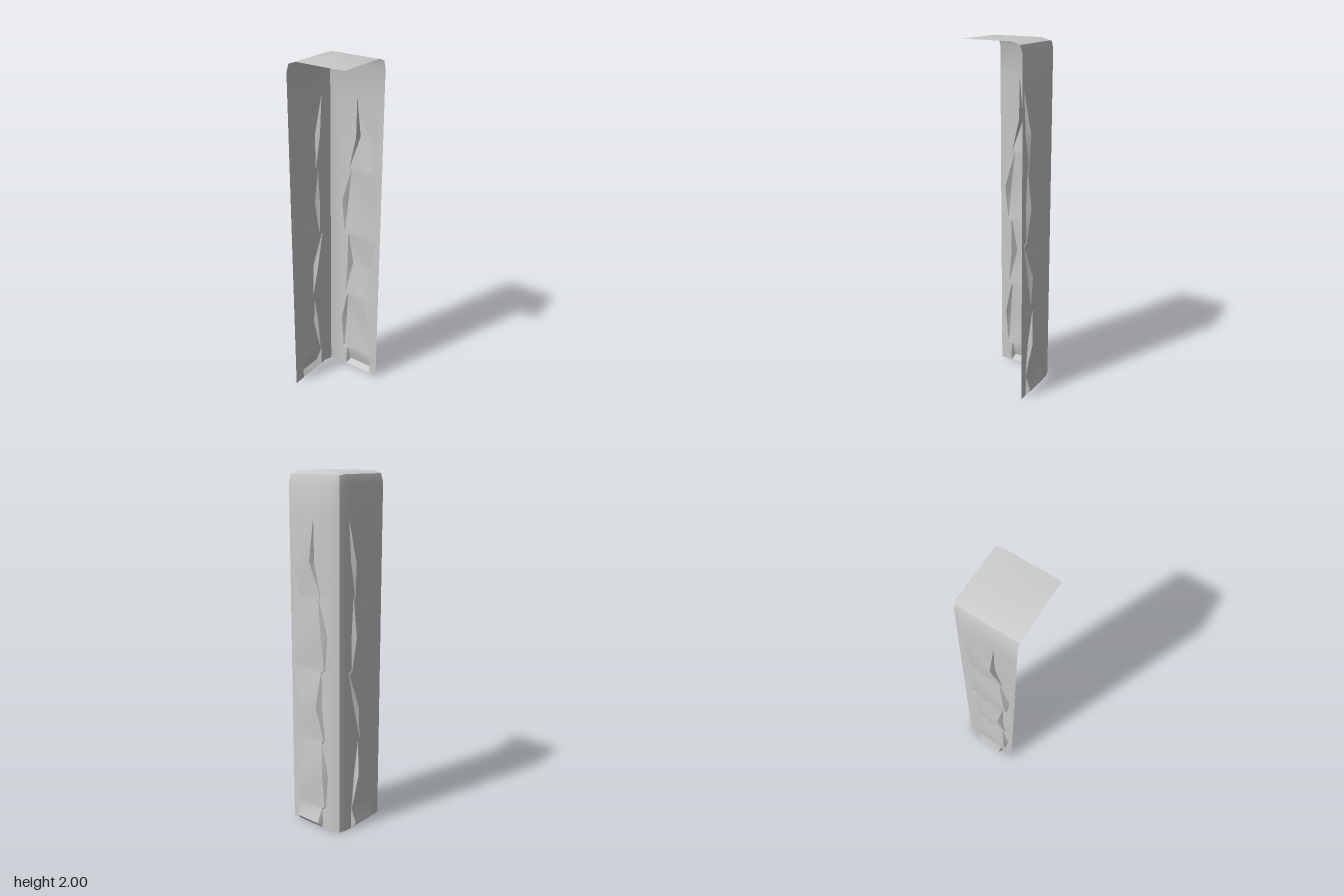
import * as THREE from 'three';
import { toCreasedNormals } from 'three/addons/utils/BufferGeometryUtils.js';

const FREE = -0.19;   // open end of every face
const FACE = 0.162;   // outer plane of the walls
const BEND = 0.102;   // where the rounded edge begins
const EDGE = 0.147;   // crease in the middle of the rounded edge
const CORNER = 0.142; // where the three creases meet
const TOP = 2;

// Chipped relief, upwards: y, relief height, left foot, left crest, right crest, right foot
const RELIEF = [
  [0, 0, -0.117, -0.117, 0.06, 0.06],
  [0.03, 0.026, -0.12, -0.105, 0.048, 0.06],
  [0.115, 0.004, -0.118, -0.113, 0.055, 0.061],
  [0.135, 0.004, -0.143, -0.138, 0.054, 0.06],
  [0.33, 0.026, -0.16, -0.14, 0.025, 0.036],
  [0.52, 0.004, -0.12, -0.115, -0.005, 0.004],
  [0.545, 0.004, -0.138, -0.132, -0.005, 0.004],
  [0.74, 0.026, -0.118, -0.095, 0.03, 0.043],
  [0.935, 0.003, -0.118, -0.115, 0.083, 0.087],
  [0.955, 0.003, -0.143, -0.139, 0.058, 0.062],
  [1.14, 0.026, -0.16, -0.135, 0.052, 0.065],
  [1.335, 0.003, -0.102, -0.098, 0.049, 0.053],
  [1.365, 0.003, -0.112, -0.108, 0.035, 0.039],
  [1.54, 0.026, -0.069, -0.057, 0.06, 0.072],
  [1.77, 0, -0.065, -0.065, 0.09, 0.09],
  [1.94, 0, -0.065, -0.065, 0.09, 0.09],
  [1.985, -0.015, -0.065, -0.065, 0.09, 0.09],
];

// Skin a grid of points (rows of equal length)
function sheet(name, rows, flip) {
  const n = rows[0].length, index = [];
  for (let r = 0; r < rows.length - 1; r++) {
    for (let c = 0; c < n - 1; c++) {
      const a = r * n + c, b = a + 1, d = a + n, e = d + 1;
      if (flip) index.push(a, e, b, a, d, e);
      else index.push(a, b, e, a, e, d);
    }
  }
  const geo = new THREE.BufferGeometry();
  geo.setAttribute('position', new THREE.Float32BufferAttribute(rows.flat(2), 3));
  geo.setIndex(index);
  const mesh = new THREE.Mesh(
    toCreasedNormals(geo, 0.5),
    new THREE.MeshStandardMaterial({ color: 0xcccccc, side: THREE.DoubleSide })
  );
  mesh.name = name;
  return mesh;
}

// A wall runs from its free end to the rounded corner; place(t, y, out) gives a point
function wall(name, toT, place, flip) {
  const rows = RELIEF.map(([y, h, fl, cl, cr, fr], k) => {
    const rim = k === RELIEF.length - 1;
    const base = rim ? h : 0;
    const cols = [[fl, base], [cl, h], [cr, h], [fr, base]]
      .map(([u, d]) => [toT(u), d])
      .sort((a, b) => a[0] - b[0]);
    // Keep foot and crest in order where they coincide
    const points = [[FREE, base], ...cols, [BEND, base]].map(([t, d]) => place(t, y, FACE + d));
    points.push(rim ? place(CORNER, TOP - 0.02, CORNER) : place(EDGE, y, EDGE));
    return points;
  });
  return sheet(name, rows, flip);
}

export function createModel() {
  const group = new THREE.Group();
  group.name = 'cornerPillar';

  // Same relief on both walls, turned by a quarter and shifted along the side wall
  group.add(wall('backWall', u => u, (t, y, out) => [t, y, -out], true));
  group.add(wall('sideWall', u => -(u + 0.085), (t, y, out) => [out, y, -t], false));

  // Top sheet, curving down to both walls
  const steps = [FREE, BEND, EDGE];
  const topRows = steps.map((b, j) => steps.map((a, i) => {
    if (i === 2 && j === 2) return [CORNER, TOP - 0.02, -CORNER];
    return [a, i === 2 || j === 2 ? TOP - 0.015 : TOP, -b];
  }));
  group.add(sheet('topSheet', topRows, false));
  return group;
}
